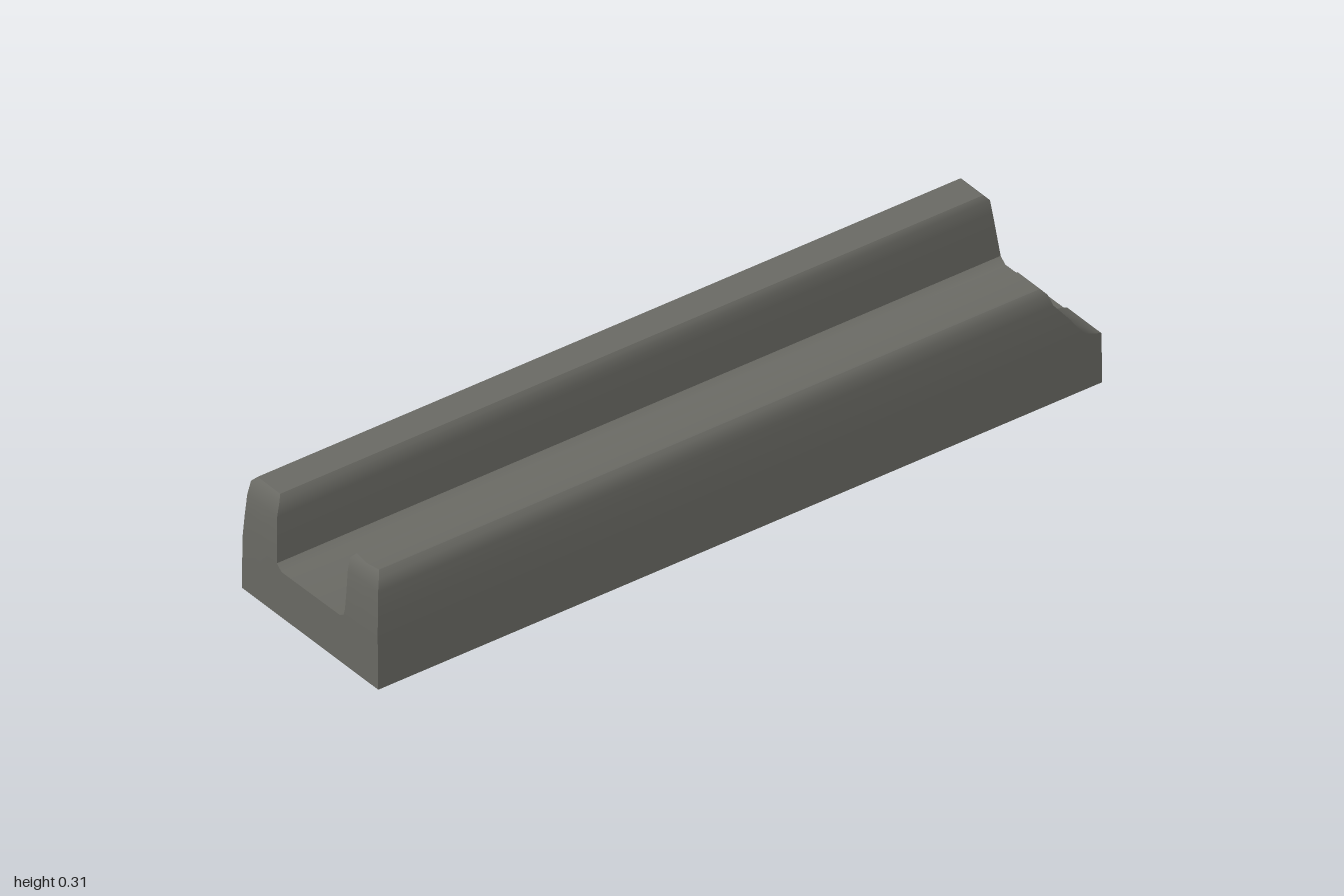
import * as THREE from 'three';
import { toCreasedNormals } from 'three/addons/utils/BufferGeometryUtils.js';

// Wall rows from foot to crest: [y, outer z, inner z]
const frontRows = [
  [0.130, 0.248, 0.123], [0.150, 0.248, 0.128], [0.200, 0.246, 0.131],
  [0.255, 0.244, 0.133], [0.287, 0.240, 0.135], [0.302, 0.229, 0.147],
];
const backRows = [
  [0.135, -0.248, -0.122], [0.165, -0.245, -0.123], [0.200, -0.242, -0.124],
  [0.255, -0.236, -0.126], [0.291, -0.232, -0.128], [0.305, -0.219, -0.136],
];
// End position along x by height: [y, x]
const leftEnd = [[0, -1], [0.15, -1], [0.28, -0.995], [0.305, -0.98]];
const backRightEnd = [[0, 1], [0.135, 1], [0.291, 0.975], [0.305, 0.962]];
const notchEnd = [[0, 1], [0.13, 1], [0.15, 0.95], [0.2, 0.915], [0.255, 0.87], [0.287, 0.857], [0.305, 0.842]];

function lookUp(table, y) {
  for (let i = 1; i < table.length; i++) {
    const [y0, x0] = table[i - 1], [y1, x1] = table[i];
    if (y <= y1) return x0 + (x1 - x0) * (y - y0) / (y1 - y0);
  }
  return table[table.length - 1][1];
}

// Place a section point [z, y] on the left (-1) or right (+1) end
function place([z, y], side) {
  const table = side < 0 ? leftEnd : z > 0 ? notchEnd : backRightEnd;
  return [lookUp(table, y), y, z];
}

// Each row becomes outer, middle and inner points; the front crest has a shallow groove
const columns = (rows, dip) => rows.map(([y, o, i], n) =>
  [[o, y], [(o + i) / 2, n === rows.length - 1 ? y - dip : y], [i, y]]);

function build(quads, crease) {
  const pos = [];
  for (const [a, b, c, d] of quads) pos.push(...a, ...b, ...c, ...a, ...c, ...d);
  const g = new THREE.BufferGeometry();
  g.setAttribute('position', new THREE.Float32BufferAttribute(pos, 3));
  return toCreasedNormals(g, crease);
}

export function createModel() {
  const group = new THREE.Group();
  const grey = new THREE.MeshStandardMaterial({ color: 0x6c6c66, side: THREE.DoubleSide });
  grey.name = 'warm grey';
  const front = columns(frontRows, 0.004);
  const back = columns(backRows, 0);
  const top = frontRows.length - 1;
  const floor = [[0.108, 0.123], [-0.105, 0.121]];

  // Open-bottomed channel skin, following the section from front foot to back foot
  const outline = [
    [0.25, 0], ...front.map((r) => r[0]), front[top][1],
    ...front.map((r) => r[2]).reverse(), ...floor,
    ...back.map((r) => r[2]), back[top][1],
    ...back.map((r) => r[0]).reverse(), [-0.25, 0],
  ];
  const skin = [];
  for (let i = 0; i < outline.length - 1; i++) {
    const p = outline[i], q = outline[i + 1];
    skin.push([place(p, -1), place(p, 1), place(q, 1), place(q, -1)]);
  }
  const shell = new THREE.Mesh(build(skin, 0.8), grey);
  shell.name = 'channelShell';
  group.add(shell);

  // End caps: a low sill plus the two wall ends, the right front one being notched
  for (const side of [-1, 1]) {
    const quads = [];
    const add = (...pts) => {
      const q = pts.map((p) => place(p, side));
      quads.push(side > 0 ? q : q.reverse());
    };
    const sill = [...front[0], ...floor, ...[...back[0]].reverse()];
    const foot = sill.map(([z], i) =>
      [i === 0 ? 0.25 : i === sill.length - 1 ? -0.25 : z, 0]);
    for (let i = 0; i < sill.length - 1; i++) add(foot[i], foot[i + 1], sill[i + 1], sill[i]);
    for (const wall of [front, back.map((r) => [...r].reverse())]) {
      for (let n = 0; n < top; n++) {
        for (let c = 0; c < 2; c++) {
          add(wall[n][c], wall[n][c + 1], wall[n + 1][c + 1], wall[n + 1][c]);
        }
      }
    }
    const cap = new THREE.Mesh(build(quads, 0.6), grey);
    cap.name = side > 0 ? 'notchedEndCap' : 'plainEndCap';
    group.add(cap);
  }
  return group;
}
